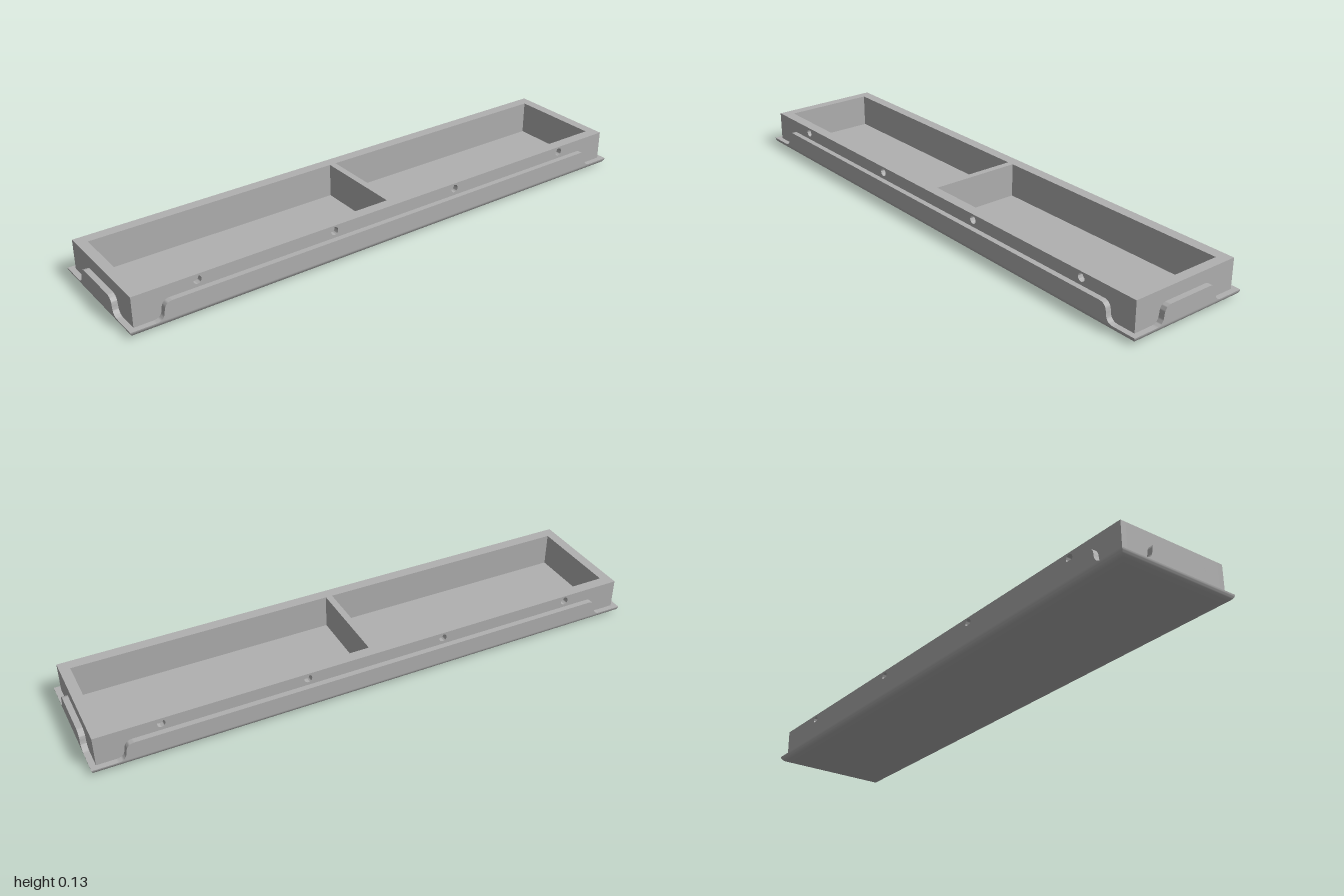
import * as THREE from 'three';
import { toCreasedNormals } from 'three/addons/utils/BufferGeometryUtils.js';

const HALF_X = 1, HALF_Z = 0.228;        // outer size of the rounded base
const BOX_X = 0.98, BOX_Z = 0.208;       // outer size of the box
const TOP = 0.13, LIP_LOW = 0.024, LIP_TOP = 0.085, FLOOR = 0.008;

function rect(target, x0, y0, x1, y1) {
  target.moveTo(x0, y0);
  target.lineTo(x1, y0);
  target.lineTo(x1, y1);
  target.lineTo(x0, y1);
  target.closePath();
  return target;
}

// Rectangular pan: a four-sided lathe stretched so every edge has the same inset
function baseGeometry() {
  const profile = [new THREE.Vector2(0, 0)];
  for (let i = 0; i <= 10; i++) {
    const a = (i / 10) * Math.PI / 2;
    profile.push(new THREE.Vector2(1 - 0.032 * (1 - Math.sin(a)), LIP_LOW * (1 - Math.cos(a))));
  }
  profile.push(new THREE.Vector2(0.948, LIP_LOW), new THREE.Vector2(0.948, FLOOR), new THREE.Vector2(0, FLOOR));
  const g = new THREE.LatheGeometry(profile, 4, Math.PI / 4);
  const p = g.attributes.position;
  for (let i = 0; i < p.count; i++) {
    const r = Math.hypot(p.getX(i), p.getZ(i));
    if (r < 0.01) continue;
    p.setX(i, Math.sign(p.getX(i)) * (HALF_X - (1 - r)));
    p.setZ(i, Math.sign(p.getZ(i)) * (HALF_Z - (1 - r)));
  }
  return toCreasedNormals(g, 0.6);
}

// Raised lip with S-curved ends; w is the half width halfway up
function lipGeometry(w, depth) {
  const s = new THREE.Shape(), mid = (LIP_LOW + LIP_TOP) / 2, r = 0.03;
  s.moveTo(-w - r, LIP_LOW);
  s.lineTo(w + r, LIP_LOW);
  s.quadraticCurveTo(w + 0.002, LIP_LOW, w, mid);
  s.quadraticCurveTo(w - 0.002, LIP_TOP, w - r, LIP_TOP);
  s.lineTo(-w + r, LIP_TOP);
  s.quadraticCurveTo(-w + 0.002, LIP_TOP, -w, mid);
  s.quadraticCurveTo(-w - 0.002, LIP_LOW, -w - r, LIP_LOW);
  const g = new THREE.ExtrudeGeometry(s, { depth, bevelEnabled: false, curveSegments: 10 });
  return toCreasedNormals(g, 0.6);
}

// Outer wall panel with four round fixing holes
function panelGeometry(depth) {
  const s = rect(new THREE.Shape(), -BOX_X, 0.015, BOX_X, TOP);
  for (const x of [-0.76, -0.255, 0.255, 0.76]) {
    const hole = new THREE.Path();
    hole.absarc(x, 0.11, 0.014, 0, Math.PI * 2, true);
    s.holes.push(hole);
  }
  const g = new THREE.ExtrudeGeometry(s, { depth, bevelEnabled: false, curveSegments: 24 });
  return toCreasedNormals(g, 0.6);
}

export function createModel() {
  const model = new THREE.Group();
  const grey = new THREE.MeshStandardMaterial({ color: 0xb0b0b0 });
  grey.name = 'grey';

  const add = (name, geometry, parent = model) => {
    const m = new THREE.Mesh(geometry, grey);
    m.name = name;
    parent.add(m);
    return m;
  };

  add('roundedBase', baseGeometry());

  // Box frame with two compartments and the divider between them
  const innerZ = 0.188;
  const frame = rect(new THREE.Shape(), -BOX_X, -innerZ, BOX_X, innerZ);
  for (const [a, b] of [[-0.944, -0.012], [0.012, 0.944]]) {
    frame.holes.push(rect(new THREE.Path(), a, -0.168, b, 0.168));
  }
  const frameGeo = new THREE.ExtrudeGeometry(frame, { depth: TOP - 0.004, bevelEnabled: false });
  frameGeo.rotateX(-Math.PI / 2);
  frameGeo.translate(0, 0.004, 0);
  add('compartmentFrame', frameGeo);

  // Long sides, front and back
  const panel = panelGeometry(BOX_Z - innerZ);
  const longLip = lipGeometry(0.885, 0.028);
  const endLip = lipGeometry(0.11, 0.028);
  for (const [label, turn] of [['front', 0], ['back', Math.PI]]) {
    const side = new THREE.Group();
    side.name = label + 'Side';
    side.rotation.y = turn;
    add(label + 'Panel', panel, side).position.z = innerZ;
    add(label + 'Lip', longLip, side).position.z = HALF_Z - 0.028;
    model.add(side);
  }

  // Short ends, left and right
  for (const [label, turn] of [['left', Math.PI / 2], ['right', -Math.PI / 2]]) {
    const end = new THREE.Group();
    end.name = label + 'End';
    end.rotation.y = turn;
    add(label + 'Lip', endLip, end).position.z = HALF_X - 0.028;
    model.add(end);
  }

  return model;
}
